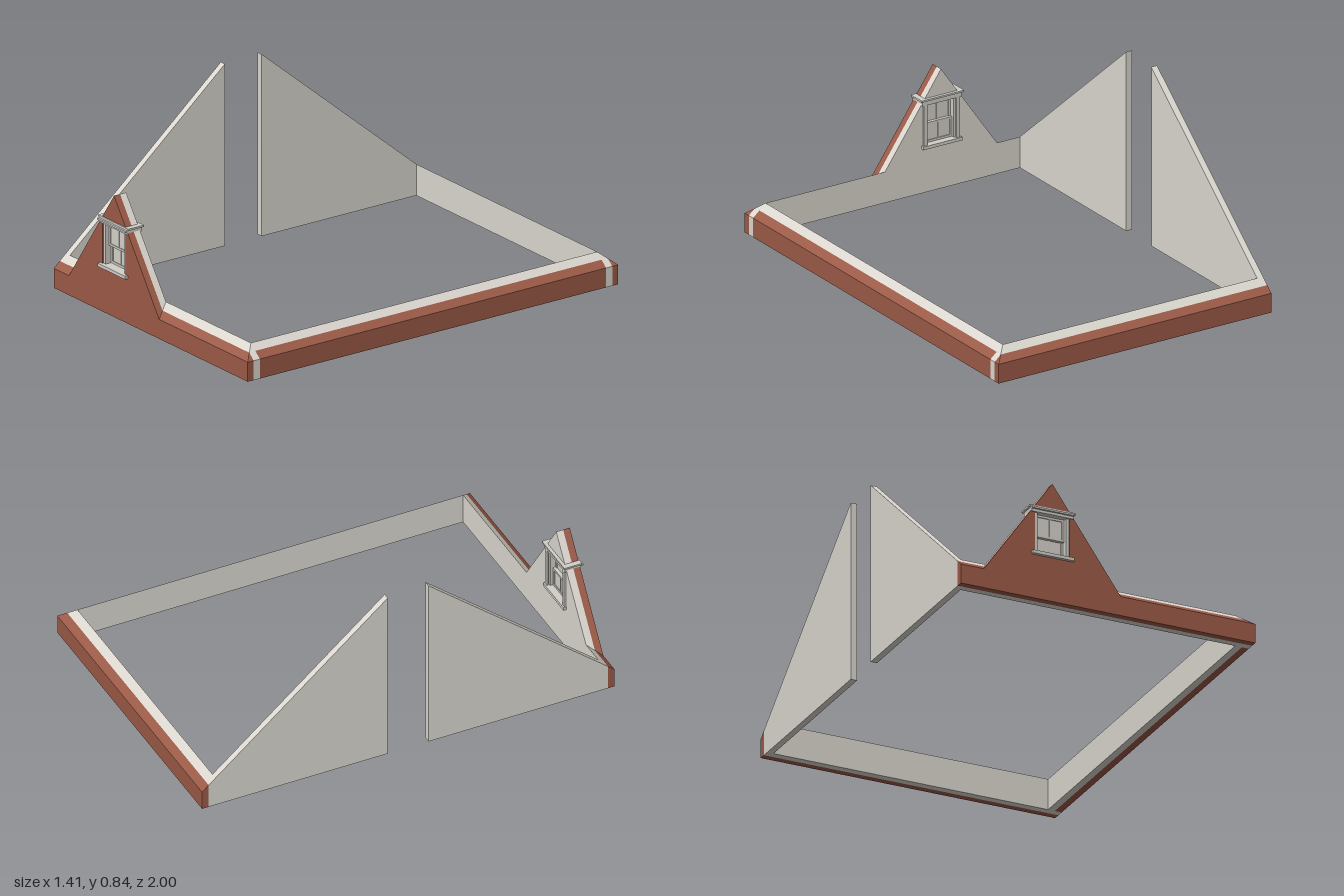
import * as THREE from 'three';
import { ConvexGeometry } from 'three/addons/geometries/ConvexGeometry.js';

const flat = (name, color) => {
  const m = new THREE.MeshStandardMaterial({ color });
  m.name = name;
  return m;
};

// Outline of the wall ring: inner faces, outer faces, and the layer split
const LEFT = -0.705, RIGHT = 0.705, INNER_X = 0.64, SPLIT_X = 0.672;
const FRONT = 0.985, INNER_F = 0.92, SPLIT_F = 0.953;
const BACK = -1, INNER_B = -0.935, SPLIT_B = -0.968;
const PITCH = 0.846, EAVES = 0.145;

// Height of the sloping wall head at a plan point; hips form where slopes meet
const headHeight = (x, z) =>
  EAVES - PITCH * Math.max(0, x - INNER_X, z - INNER_F, INNER_B - z);

export function createModel() {
  const model = new THREE.Group();
  model.name = 'atticWalls';
  const brick = flat('red brick', 0x9c5a47);
  const plaster = flat('pale plaster', 0xdcd8d0);
  const frame = flat('window frame', 0xd2cfc8);
  const pane = flat('window pane', 0xd6d2cb);

  const add = (parent, name, geometry, material) => {
    const mesh = new THREE.Mesh(geometry, material);
    mesh.name = name;
    parent.add(mesh);
    return mesh;
  };

  // Solid standing on a plan outline, cut by the sloping wall head
  const wall = (name, plan, material, height = headHeight) => {
    const points = plan.flatMap(([x, z]) => [
      new THREE.Vector3(x, 0, z), new THREE.Vector3(x, height(x, z), z)]);
    add(model, name, new ConvexGeometry(points), material);
  };

  // Front and back walls run the full width, hipped at the right corner
  const crossWall = (name, z0, z1, inner, material) => {
    const plan = [];
    for (const z of [z0, z1]) {
      for (const x of [LEFT, INNER_X + Math.abs(z - inner), RIGHT]) plan.push([x, z]);
    }
    wall(name, plan, material);
  };
  crossWall('frontWallCore', INNER_F, SPLIT_F, INNER_F, plaster);
  crossWall('frontWallBrick', SPLIT_F, FRONT, INNER_F, brick);
  crossWall('backWallCore', INNER_B, SPLIT_B, INNER_B, plaster);
  crossWall('backWallBrick', SPLIT_B, BACK, INNER_B, brick);

  // Side wall between them
  const sideWall = (name, x0, x1, material) => wall(name,
    [[x0, INNER_B], [x1, INNER_B], [x0, INNER_F], [x1, INNER_F]], material);
  sideWall('sideWallCore', INNER_X, SPLIT_X, plaster);
  sideWall('sideWallBrick', SPLIT_X, RIGHT, brick);

  // Two halves of the tall end gable with a gap at the ridge
  for (const [name, low, high] of [
    ['frontHalfGable', INNER_F, 0.09], ['backHalfGable', INNER_B, -0.107]]) {
    wall(name, [[LEFT, low], [-0.675, low], [LEFT, high], [-0.675, high]], plaster,
      (x, z) => (z === low ? EAVES : 0.84));
  }

  // Dormer gable in two layers, with the window opening
  const CX = -0.267;
  const dormer = new THREE.Shape([
    new THREE.Vector2(CX - 0.328, 0.09),
    new THREE.Vector2(CX + 0.328, 0.09),
    new THREE.Vector2(CX, 0.56)]);
  dormer.holes.push(new THREE.Path([
    new THREE.Vector2(CX - 0.083, 0.21),
    new THREE.Vector2(CX - 0.083, 0.415),
    new THREE.Vector2(CX + 0.083, 0.415),
    new THREE.Vector2(CX + 0.083, 0.21)]));
  for (const [name, z0, z1, material] of [
    ['dormerCore', INNER_F, SPLIT_F, plaster], ['dormerBrick', SPLIT_F, FRONT, brick]]) {
    const geometry = new THREE.ExtrudeGeometry(dormer, { depth: z1 - z0, bevelEnabled: false });
    add(model, name, geometry, material).position.z = z0;
  }

  // Sash window, laid out around the dormer centre line
  const sash = new THREE.Group();
  sash.name = 'sashWindow';
  sash.position.x = CX;
  model.add(sash);
  const bar = (name, x0, x1, y0, y1, z0, z1, material = frame) => {
    add(sash, name, new THREE.BoxGeometry(x1 - x0, y1 - y0, z1 - z0), material)
      .position.set((x0 + x1) / 2, (y0 + y1) / 2, (z0 + z1) / 2);
  };
  bar('header', -0.1, 0.1, 0.41, 0.432, 0.912, 0.99);
  bar('outerCornice', -0.102, 0.102, 0.422, 0.43, 0.985, 1);
  bar('headerCap', -0.11, 0.11, 0.432, 0.44, 0.905, 0.99);
  bar('outerSill', -0.1, 0.1, 0.207, 0.222, 0.95, 1);
  bar('innerSill', -0.1, 0.1, 0.207, 0.222, 0.905, 0.95);
  for (const s of [-1, 1]) {
    const upright = (name, a, b, y0, y1, z0, z1) =>
      bar(name, Math.min(s * a, s * b), Math.max(s * a, s * b), y0, y1, z0, z1);
    upright('jamb', 0.068, 0.083, 0.215, 0.41, 0.925, 0.98);
    upright('innerCasing', 0.075, 0.094, 0.22, 0.41, 0.912, 0.92);
    upright('lowerStile', 0.058, 0.068, 0.22, 0.315, 0.938, 0.95);
    upright('upperStile', 0.058, 0.068, 0.305, 0.41, 0.95, 0.962);
  }
  // Lower sash sits inside the upper one
  for (const [name, y0, y1, z] of [['lower', 0.222, 0.315, 0.938], ['upper', 0.305, 0.41, 0.95]]) {
    bar(name + 'BottomRail', -0.06, 0.06, y0, y0 + 0.01, z, z + 0.012);
    bar(name + 'TopRail', -0.06, 0.06, y1 - 0.01, y1, z, z + 0.012);
    bar(name + 'GlazingBar', -0.003, 0.003, y0, y1, z + 0.001, z + 0.011);
    bar(name + 'Pane', -0.06, 0.06, y0, y1, z + 0.004, z + 0.008, pane);
  }
  return model;
}
